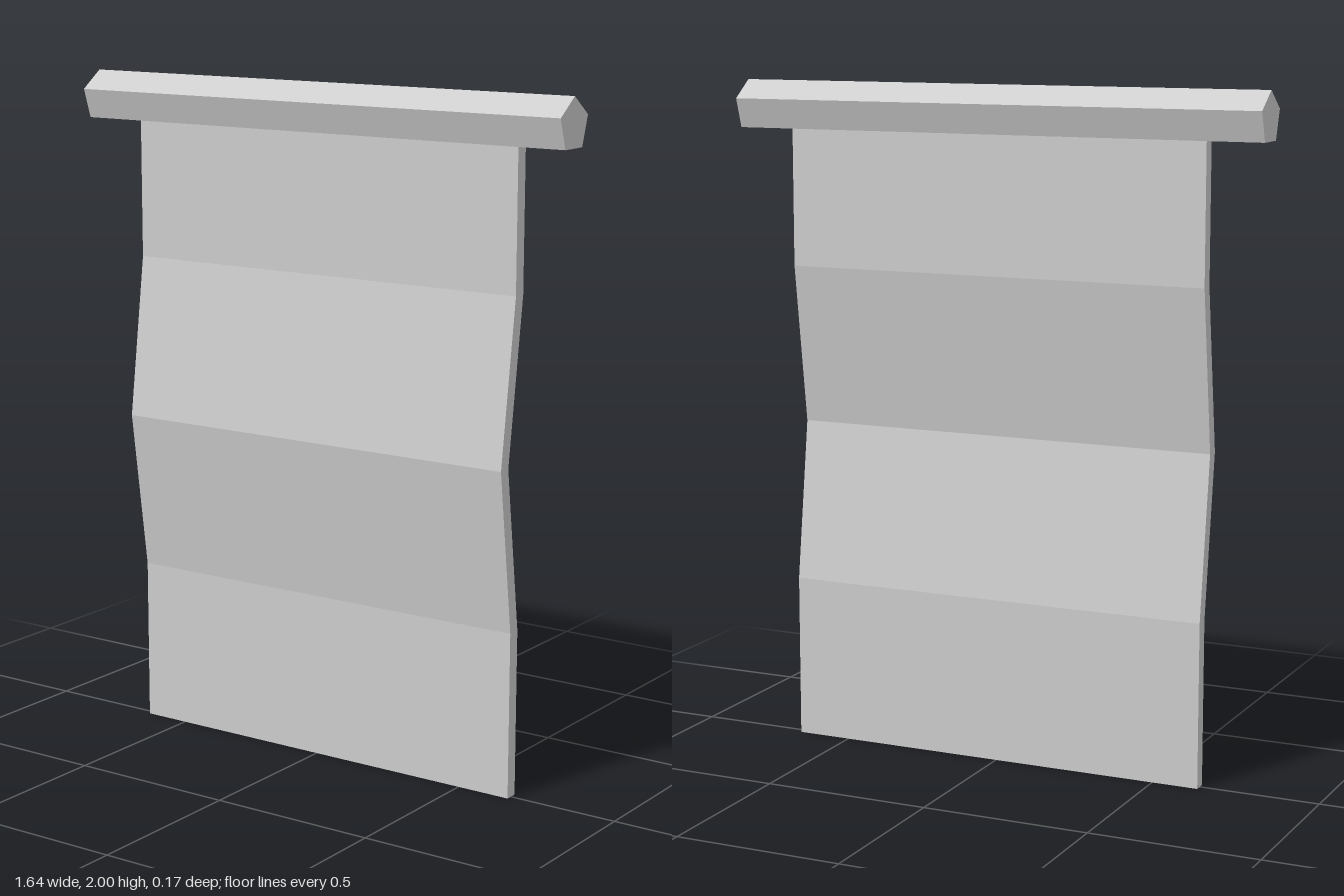
import * as THREE from 'three';

export function createModel() {
  const group = new THREE.Group();
  const material = new THREE.MeshStandardMaterial({ color: 0xcccccc, flatShading: true });

  // Five-sided rod lying along x, one edge pointing up
  const radius = 0.0774;
  const rodGeometry = new THREE.CylinderGeometry(radius, radius, 1.64, 5);
  rodGeometry.rotateZ(Math.PI / 2).rotateX(-Math.PI / 2);
  const rod = new THREE.Mesh(rodGeometry, material);
  rod.name = 'rod';
  rod.position.set(0, 2 - radius, -0.009);
  group.add(rod);

  // Hanging cloth: folded side profile [z, y] of the front face, given thickness
  const thickness = 0.039;
  const front = [[0.018, 0], [0.018, 0.49], [0.083, 0.97], [0.018, 1.45], [0.018, 1.9]];
  const back = front.map(([z, y]) => [z - thickness, y]).reverse();
  const profile = new THREE.Shape([...front, ...back].map(([z, y]) => new THREE.Vector2(z, y)));
  const clothGeometry = new THREE.ExtrudeGeometry(profile, { depth: 1.305, bevelEnabled: false });
  clothGeometry.rotateY(-Math.PI / 2).translate(0.665, 0, 0);
  const cloth = new THREE.Mesh(clothGeometry, material);
  cloth.name = 'cloth';
  group.add(cloth);

  return group;
}
